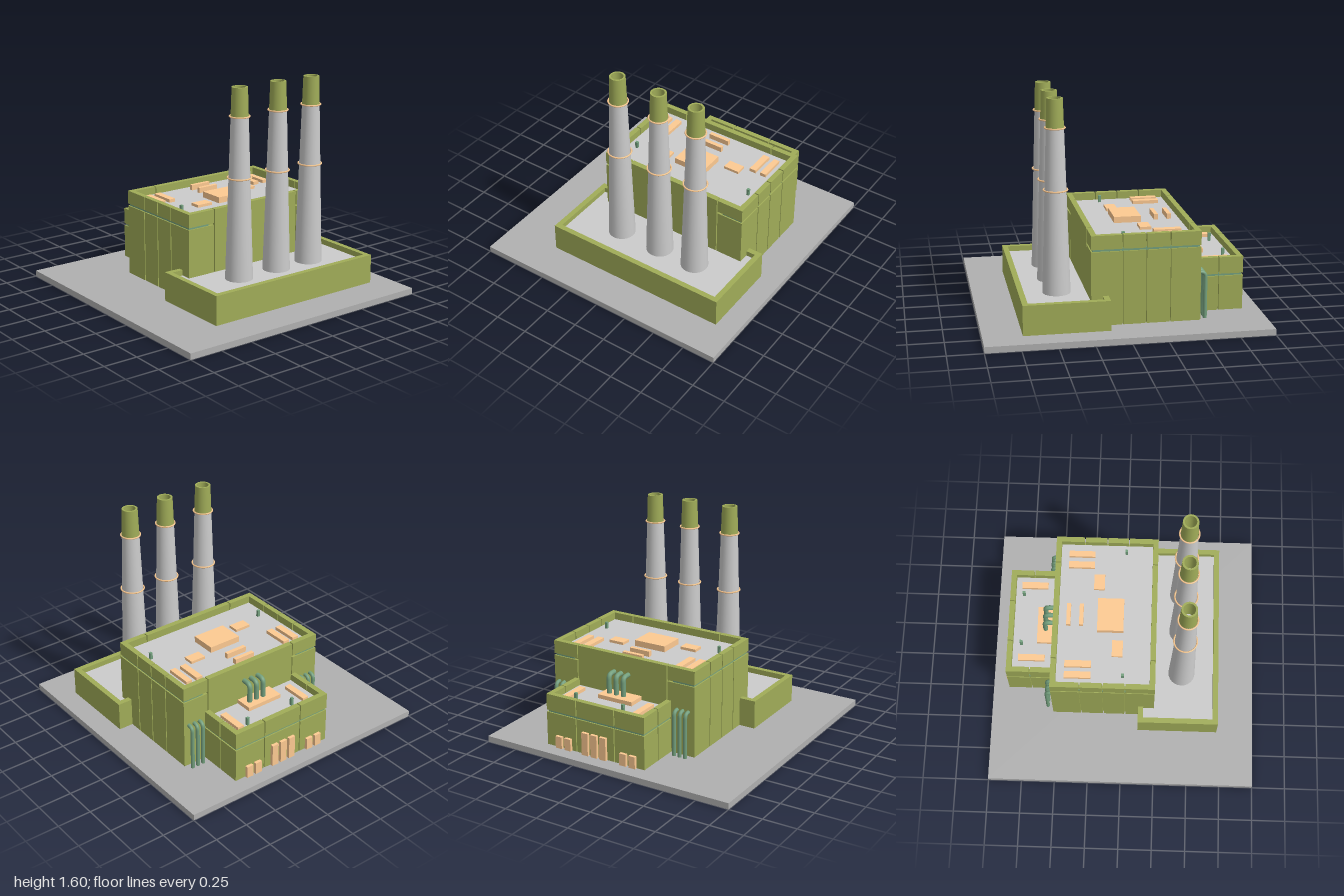
import * as THREE from 'three';

const mat = (color) => new THREE.MeshStandardMaterial({ color });
const GREY = mat(0xcccccc), SLAB = mat(0xb0b0b0), GREEN = mat(0xa0ac58);
const TAN = mat(0xfdca92), TEAL = mat(0x74a07e);
const GREEN_OPEN = GREEN.clone();
GREEN_OPEN.side = THREE.DoubleSide;

const GROUND = 0.045, WALL = 0.04, SEAM = 0.008, BAND = 0.016;

function add(parent, name, geometry, material) {
  const mesh = new THREE.Mesh(geometry, material);
  mesh.name = name;
  parent.add(mesh);
  return mesh;
}

// Box given by its limits on each axis
function box(parent, name, material, x0, x1, y0, y1, z0, z1) {
  const mesh = add(parent, name, new THREE.BoxGeometry(x1 - x0, y1 - y0, z1 - z0), material);
  mesh.position.set((x0 + x1) / 2, (y0 + y1) / 2, (z0 + z1) / 2);
  return mesh;
}

// Row of wall panels along one side, split by upright seams and a level band
function panelRow(parent, axis, from, to, splits, side, top, bandY, plainMiddle) {
  const edges = [from, ...splits, to];
  for (let i = 0; i < edges.length - 1; i++) {
    const a = edges[i] + (i > 0 ? SEAM / 2 : 0);
    const b = edges[i + 1] - (i < edges.length - 2 ? SEAM / 2 : 0);
    const plain = plainMiddle && i > 0 && i < edges.length - 2;
    const levels = plain ? [[GROUND, top]]
      : [[GROUND, bandY - BAND / 2], [bandY + BAND / 2, top]];
    for (const [y0, y1] of levels) {
      if (axis === 'x') box(parent, 'wallPanel', GREEN, a, b, y0, y1, side, side + WALL);
      else box(parent, 'wallPanel', GREEN, side, side + WALL, y0, y1, a, b);
    }
  }
}

// Tapered chimney with a hollow coloured top and two collars
function chimney(z, floor) {
  const g = new THREE.Group();
  g.name = 'chimney';
  const top = 1.6, capY = 1.395;
  const radius = (y) => 0.1 - (y - floor) * 0.0315;
  const shaft = add(g, 'chimneyShaft',
    new THREE.CylinderGeometry(radius(capY), radius(floor), capY - floor, 24), GREY);
  shaft.position.y = (capY + floor) / 2;
  const rim = radius(top);
  const profile = [[radius(capY), capY], [rim, top], [rim, top], [rim - 0.014, top],
    [rim - 0.014, top], [rim - 0.012, capY]].map(([r, y]) => new THREE.Vector2(r, y));
  add(g, 'chimneyCap', new THREE.LatheGeometry(profile, 24), GREEN_OPEN);
  for (const y of [0.96, capY]) {
    const ring = add(g, 'chimneyCollar', new THREE.TorusGeometry(radius(y) + 0.007, 0.006, 6, 24), TAN);
    ring.rotation.x = Math.PI / 2;
    ring.position.y = y;
  }
  g.position.set(0.445, 0, z);
  return g;
}

// Pipe rising at x and bending into the wall at wallX
function elbowPipe(parent, x, wallX, y0, y1, z, r) {
  const bend = 0.035;
  const path = new THREE.CurvePath();
  const v = (px, py) => new THREE.Vector3(px, py, z);
  path.add(new THREE.LineCurve3(v(x, y0), v(x, y1 - bend)));
  path.add(new THREE.QuadraticBezierCurve3(v(x, y1 - bend), v(x, y1), v(x + bend, y1)));
  path.add(new THREE.LineCurve3(v(x + bend, y1), v(wallX, y1)));
  add(parent, 'elbowPipe', new THREE.TubeGeometry(path, 40, r, 10), TEAL);
}

export function createModel() {
  const model = new THREE.Group();
  model.name = 'powerStation';
  box(model, 'groundSlab', SLAB, -1, 1, 0, GROUND, -1, 1);

  // Main hall
  const hall = new THREE.Group();
  hall.name = 'mainHall';
  model.add(hall);
  const hallTop = 0.69, hallRoof = 0.635, hallBand = 0.583;
  box(hall, 'hallCore', GREEN, -0.51, 0.22, GROUND, hallRoof - 0.01, -0.71, 0.44);
  box(hall, 'hallRoof', GREY, -0.49, 0.2, hallRoof - 0.03, hallRoof, -0.69, 0.42);
  for (const side of [-0.73, 0.42]) {
    panelRow(hall, 'x', -0.53, 0.24, [-0.315, -0.145, 0.02], side, hallTop, hallBand, false);
    box(hall, 'hallBand', TEAL, -0.52, 0.23, hallBand - 0.012, hallBand + 0.012,
      side + 0.01, side + 0.03);
  }
  for (const side of [-0.53, 0.2]) {
    panelRow(hall, 'z', -0.69, 0.42, [-0.522, 0.237], side, hallTop, hallBand, true);
    for (const [z0, z1] of [[-0.72, -0.56], [0.28, 0.45]]) {
      box(hall, 'hallBand', TEAL, side + 0.01, side + 0.03,
        hallBand - 0.012, hallBand + 0.012, z0, z1);
    }
  }

  // Roof units on the hall: x0, x1, z0, z1, height
  const hallUnits = [
    [-0.43, -0.235, -0.63, -0.585, 0.025], [-0.43, -0.235, -0.545, -0.495, 0.025],
    [-0.43, -0.235, 0.24, 0.29, 0.025], [-0.43, -0.235, 0.325, 0.375, 0.025],
    [-0.235, -0.155, -0.445, -0.325, 0.02], [-0.085, -0.005, 0.075, 0.2, 0.02],
    [-0.2, -0.005, -0.245, 0.01, 0.045],
    [-0.43, -0.4, -0.2, -0.035, 0.04], [-0.335, -0.305, -0.2, -0.035, 0.04],
  ];
  for (const [x0, x1, z0, z1, h] of hallUnits) {
    box(hall, 'roofUnit', TAN, x0, x1, hallRoof, hallRoof + h, z0, z1);
  }

  // Side block
  const block = new THREE.Group();
  block.name = 'sideBlock';
  model.add(block);
  const blockTop = 0.435, blockRoof = 0.385, blockBand = 0.305;
  box(block, 'blockCore', GREEN, -0.86, -0.52, GROUND, blockRoof - 0.01, -0.53, 0.25);
  box(block, 'blockRoof', GREY, -0.84, -0.525, blockRoof - 0.03, blockRoof, -0.51, 0.23);
  for (const side of [-0.55, 0.23]) {
    panelRow(block, 'x', -0.88, -0.53, [-0.703], side, blockTop, blockBand, false);
  }
  panelRow(block, 'z', -0.51, 0.23, [-0.297, 0.023], -0.88, blockTop, blockBand, false);
  box(block, 'blockBand', TEAL, -0.87, -0.53, blockBand - 0.012, blockBand + 0.012, -0.54, 0.26);
  const blockUnits = [[-0.795, -0.595, -0.465, -0.415, 0.025],
    [-0.795, -0.595, 0.12, 0.168, 0.025], [-0.66, -0.53, -0.26, 0.025, 0.03]];
  for (const [x0, x1, z0, z1, h] of blockUnits) {
    box(block, 'roofUnit', TAN, x0, x1, blockRoof, blockRoof + h, z0, z1);
  }

  // Loading doors: start z and top height
  const doors = [[-0.465, 0.135], [-0.39, 0.135], [-0.24, 0.215], [-0.165, 0.215],
    [-0.09, 0.215], [0.077, 0.135], [0.153, 0.135]];
  for (const [z, top] of doors) {
    box(block, 'loadingDoor', TAN, -0.903, -0.87, GROUND, top, z, z + 0.053);
  }

  // Small roof vents
  for (const [x, z, y] of [[0, -0.63, hallRoof], [0, 0.35, hallRoof],
    [-0.777, -0.367, blockRoof], [-0.777, 0.03, blockRoof]]) {
    box(model, 'roofVent', TEAL, x - 0.01, x + 0.01, y, y + (y === hallRoof ? 0.05 : 0.06),
      z - 0.01, z + 0.01);
  }

  // Pipes beside the hall and on the block roof
  for (const z of [-0.69, -0.645, -0.6, 0.32, 0.365, 0.41]) {
    elbowPipe(model, -0.572, -0.52, GROUND, 0.38, z, 0.014);
  }
  for (const z of [-0.205, -0.145, -0.085]) {
    elbowPipe(model, -0.597, -0.52, blockRoof, 0.555, z, 0.018);
  }

  // Walled chimney yard
  const yard = new THREE.Group();
  yard.name = 'chimneyYard';
  model.add(yard);
  const yardTop = 0.26, yardFloor = 0.22;
  box(yard, 'yardFloor', GREY, 0.14, 0.7, GROUND, yardFloor, -0.82, 0.56);
  for (const z of [-0.84, 0.545]) {
    box(yard, 'yardWall', GREEN, 0.12, 0.725, GROUND, yardTop, z, z + WALL);
  }
  box(yard, 'yardWall', GREEN, 0.685, 0.725, GROUND, yardTop, -0.8, 0.545);
  for (const [z0, z1] of [[-0.8, -0.7], [0.44, 0.545]]) {
    box(yard, 'yardWall', GREEN, 0.12, 0.16, GROUND, yardTop, z0, z1);
  }
  for (const z of [-0.47, -0.167, 0.173]) yard.add(chimney(z, yardFloor));

  return model;
}
